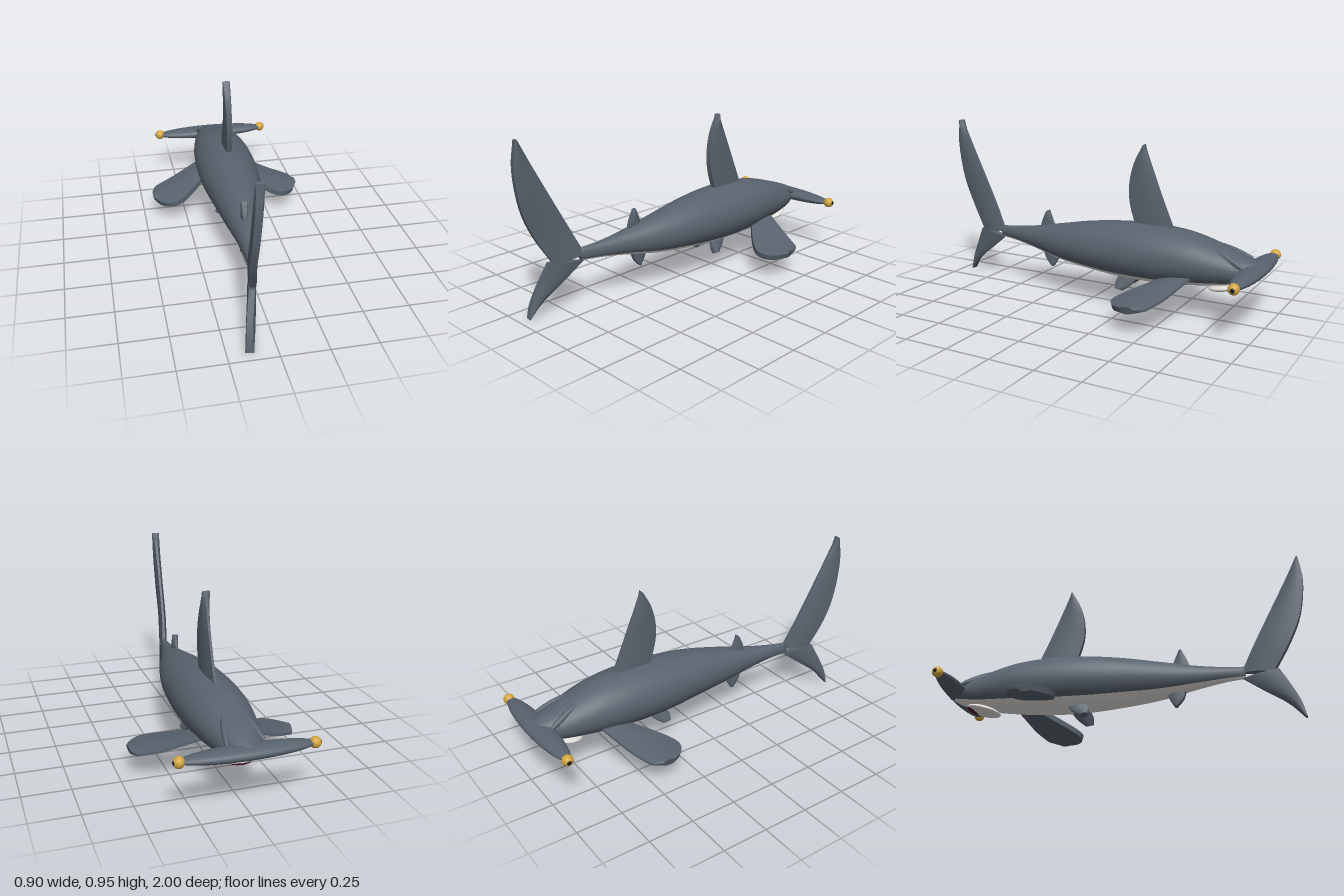
import * as THREE from 'three';
import { toCreasedNormals } from 'three/addons/utils/BufferGeometryUtils.js';

const V = (p) => new THREE.Vector3(...p);
const mat = (name, color) => {
  const m = new THREE.MeshStandardMaterial({ color });
  m.name = name;
  return m;
};
const spline = (pts) => new THREE.CatmullRomCurve3(pts, false, 'catmullrom', 0.5);

// Closed skin over equal-sized rings; the underside quarter may go in its own group
function loft(rings, isBelly = () => false) {
  const n = rings[0].length, pos = [], upper = [], lower = [];
  rings.forEach((r) => r.forEach((p) => pos.push(p.x, p.y, p.z)));
  for (let i = 0; i < rings.length - 1; i++) {
    for (let j = 0; j < n; j++) {
      const a = i * n + j, b = i * n + (j + 1) % n;
      (isBelly(j) ? lower : upper).push(a, b, a + n, b, b + n, a + n);
    }
  }
  // end caps
  [0, rings.length - 1].forEach((i) => {
    for (let j = 1; j < n - 1; j++) {
      const f = [i * n, i * n + j, i * n + j + 1];
      upper.push(...(i ? f : f.reverse()));
    }
  });
  const index = [...upper, ...lower];
  // turn the skin outward if its enclosed volume is negative
  const at = (k) => new THREE.Vector3().fromArray(pos, k * 3);
  let vol = 0;
  for (let k = 0; k < index.length; k += 3) {
    vol += at(index[k]).dot(at(index[k + 1]).cross(at(index[k + 2])));
  }
  if (vol < 0) index.reverse();
  const g = new THREE.BufferGeometry();
  g.setAttribute('position', new THREE.Float32BufferAttribute(pos, 3));
  g.setIndex(index);
  if (lower.length) {
    g.addGroup(0, upper.length, 0);
    g.addGroup(upper.length, lower.length, 1);
  }
  g.computeVertexNormals();
  return g;
}

// Fin from stations [leading point, trailing point], thickened along a normal
const PROFILE = [[0, 0.3], [0.2, 0.7], [0.45, 1], [0.75, 0.95], [1, 0.7]];
function fin(stations, thickness, normal, steps = 16) {
  const lead = spline(stations.map((s) => V(s[0])));
  const trail = spline(stations.map((s) => V(s[1])));
  const n = V(normal).normalize();
  const rings = [];
  for (let i = 0; i <= steps; i++) {
    const a = lead.getPoint(i / steps), b = trail.getPoint(i / steps);
    const side = (s) => PROFILE.map(([u, t]) =>
      a.clone().lerp(b, u).addScaledVector(n, s * t * thickness / 2));
    rings.push([...side(1), ...side(-1).reverse()]);
  }
  return toCreasedNormals(loft(rings), 0.7);
}

export function createModel() {
  const model = new THREE.Group();
  model.name = 'hammerheadShark';
  const grey = mat('slate grey skin', 0x58626d);
  const white = mat('pale belly', 0xe4e0dc);
  const gold = mat('golden eye', 0xd2a53c);
  const maroon = mat('dark red mouth', 0x5c0b28);
  const black = mat('black pupil', 0x15151a);

  const add = (name, geo, material) => {
    const m = new THREE.Mesh(geo, material);
    m.name = name;
    model.add(m);
    return m;
  };
  const ball = (name, material, p, s) => {
    const m = add(name, new THREE.SphereGeometry(1, 32, 20), material);
    m.position.set(...p);
    m.scale.set(...s);
    return m;
  };

  // Body: [z, centre x, centre y, half width, half height], snout to tail root
  const body = [
    [-0.985, 0, 0.3, 0.012, 0.012], [-0.95, 0, 0.3, 0.05, 0.04],
    [-0.89, 0, 0.3, 0.092, 0.066], [-0.8, 0, 0.303, 0.122, 0.095],
    [-0.6, 0, 0.318, 0.16, 0.138], [-0.4, 0, 0.32, 0.173, 0.156],
    [-0.2, 0, 0.318, 0.166, 0.154], [0, 0, 0.315, 0.143, 0.135],
    [0.2, -0.011, 0.306, 0.107, 0.105], [0.4, -0.033, 0.302, 0.06, 0.066],
    [0.55, -0.052, 0.3, 0.033, 0.043], [0.66, -0.066, 0.298, 0.018, 0.034],
  ];
  const centre = spline(body.map(([z, x, y]) => V([x, y, z])));
  const radii = spline(body.map(([z, , , rx, ry]) => V([rx, ry, z])));
  const N = 40, rings = [];
  for (let i = 0; i <= 66; i++) {
    const c = centre.getPoint(i / 66), r = radii.getPoint(i / 66);
    rings.push(Array.from({ length: N }, (_, j) => {
      const a = (j / N) * Math.PI * 2;
      return V([c.x + r.x * Math.cos(a), c.y + r.y * Math.sin(a), c.z]);
    }));
  }
  add('body', loft(rings, (j) => j >= 25 && j < 35), [grey, white]);

  // Tail
  add('upperTailLobe', fin([
    [[-0.06, 0.3, 0.64], [-0.098, 0.28, 0.81]],
    [[-0.078, 0.45, 0.715], [-0.118, 0.44, 0.905]],
    [[-0.09, 0.63, 0.81], [-0.12, 0.6, 0.97]],
    [[-0.1, 0.82, 0.91], [-0.116, 0.8, 1]],
    [[-0.107, 0.95, 0.975], [-0.109, 0.945, 0.986]],
  ], 0.046, [1, 0, 0.16]), grey);
  add('lowerTailLobe', fin([
    [[-0.065, 0.265, 0.645], [-0.105, 0.29, 0.835]],
    [[-0.085, 0.18, 0.755], [-0.125, 0.18, 0.89]],
    [[-0.112, 0.095, 0.865], [-0.137, 0.085, 0.932]],
    [[-0.138, 0.004, 0.942], [-0.14, 0.008, 0.95]],
  ], 0.044, [1, 0, 0.16]), grey);

  // Midline fins
  add('dorsalFin', fin([
    [[0, 0.43, -0.5], [-0.002, 0.43, -0.275]],
    [[0, 0.58, -0.435], [-0.003, 0.58, -0.23]],
    [[-0.002, 0.7, -0.385], [-0.006, 0.69, -0.225]],
    [[-0.006, 0.81, -0.34], [-0.009, 0.8, -0.25]],
    [[-0.009, 0.9, -0.305], [-0.01, 0.892, -0.298]],
  ], 0.044, [1, 0, 0]), grey);
  add('secondDorsalFin', fin([
    [[-0.034, 0.35, 0.265], [-0.036, 0.35, 0.365]],
    [[-0.034, 0.4, 0.28], [-0.036, 0.4, 0.355]],
    [[-0.034, 0.472, 0.31], [-0.036, 0.465, 0.325]],
  ], 0.036, [1, 0, 0.1], 8), grey);
  add('analFin', fin([
    [[-0.032, 0.25, 0.23], [-0.034, 0.25, 0.345]],
    [[-0.032, 0.19, 0.25], [-0.034, 0.19, 0.33]],
    [[-0.032, 0.14, 0.28], [-0.034, 0.145, 0.295]],
  ], 0.036, [1, 0, 0.1], 8), grey);

  // Paired parts
  for (const [s, side] of [[1, 'left'], [-1, 'right']]) {
    add(side + 'PectoralFin', fin([
      [[s * 0.1, 0.255, -0.645], [s * 0.1, 0.22, -0.49]],
      [[s * 0.19, 0.22, -0.612], [s * 0.2, 0.175, -0.385]],
      [[s * 0.3, 0.178, -0.572], [s * 0.28, 0.145, -0.318]],
      [[s * 0.375, 0.158, -0.54], [s * 0.345, 0.134, -0.302]],
      [[s * 0.42, 0.147, -0.515], [s * 0.405, 0.13, -0.335]],
      [[s * 0.439, 0.143, -0.47], [s * 0.443, 0.136, -0.4]],
    ], 0.045, [s * 0.3, 1, 0.15], 20), grey);
    add(side + 'PelvicFin', fin([
      [[s * 0.045, 0.195, -0.31], [s * 0.045, 0.19, -0.2]],
      [[s * 0.065, 0.145, -0.275], [s * 0.065, 0.145, -0.182]],
      [[s * 0.083, 0.105, -0.225], [s * 0.083, 0.11, -0.185]],
    ], 0.036, [1, s * 0.5, 0], 8), grey);
    ball(side + 'Eye', gold, [s * 0.336, 0.303, -0.94], [0.029, 0.029, 0.029]);
    ball(side + 'Pupil', black, [s * 0.361, 0.303, -0.942], [0.005, 0.012, 0.012]);
    // raised brow ridge running back from the hammer
    const brow = ball(side + 'Brow', grey, [s * 0.072, 0.366, -0.81], [0.018, 0.02, 0.108]);
    brow.lookAt(s * 0.048, 0.407, -0.71);
  }

  // Hammer-shaped head, slightly blunt toward the eyes
  ball('hammerHead', grey, [0, 0.303, -0.935], [0.345, 0.034, 0.065]);

  // Lower jaw and open mouth
  const jaw = ball('lowerJaw', white, [0, 0.2, -0.79], [0.085, 0.022, 0.098]);
  const mouth = ball('mouth', maroon, [0, 0.21, -0.837], [0.06, 0.02, 0.047]);
  jaw.rotation.x = mouth.rotation.x = 0.25;

  return model;
}
